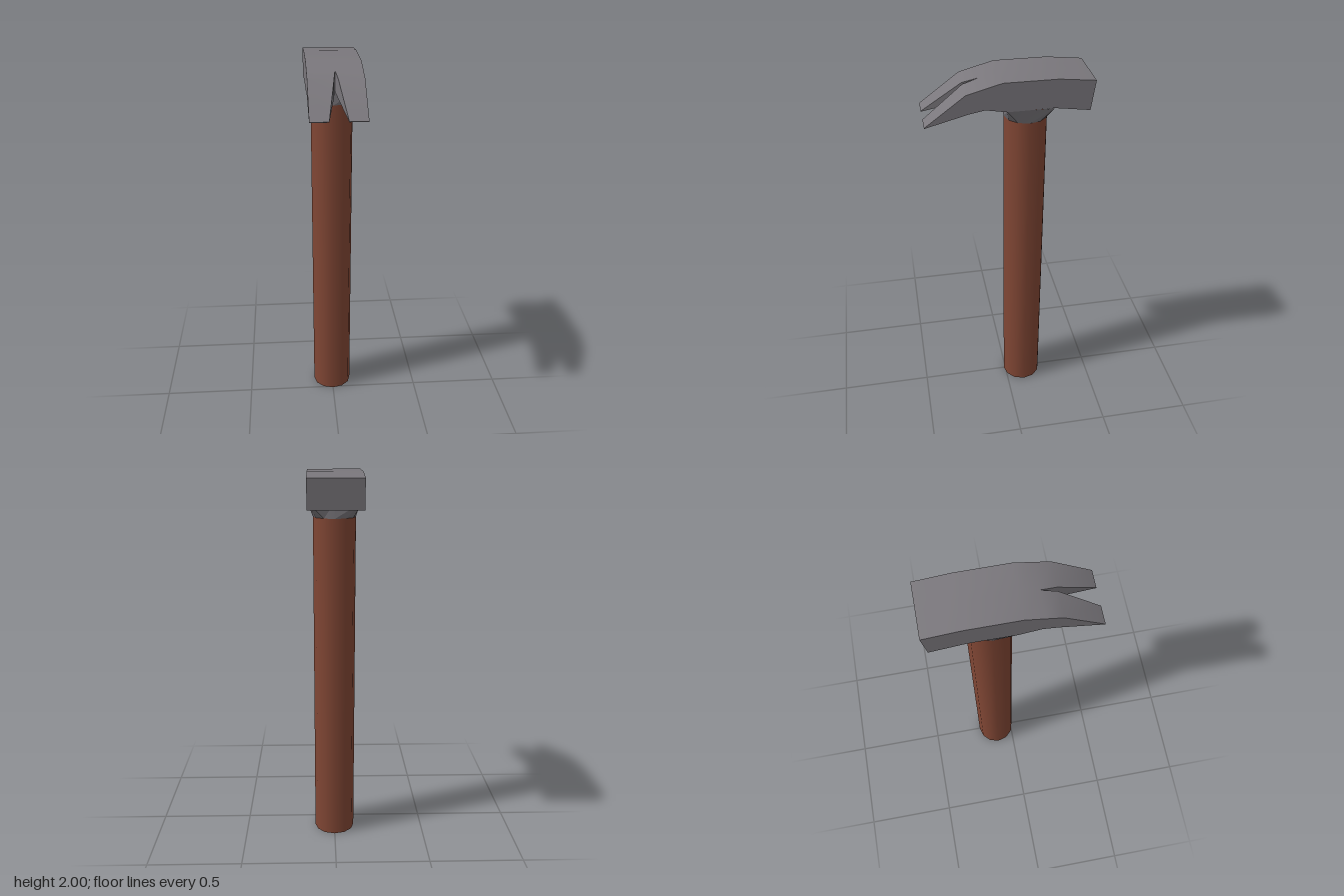
import * as THREE from 'three';
import { toCreasedNormals } from 'three/addons/utils/BufferGeometryUtils.js';

const steel = new THREE.MeshStandardMaterial({ color: 0x7a777c });
steel.name = 'steel';
const wood = new THREE.MeshStandardMaterial({ color: 0x804634 });
wood.name = 'wood';

const HANDLE_Z = -0.1;
const HANDLE_R = 0.11;
const NECK_BOTTOM = 1.77;
const HALF_WIDTH = 0.138;

// Collects quads (corners counter-clockwise from outside) and softens shallow edges.
function quadsToGeometry(quads, crease) {
  const pos = [];
  for (const [a, b, c, d] of quads) pos.push(...a, ...b, ...c, ...a, ...c, ...d);
  const geo = new THREE.BufferGeometry();
  geo.setAttribute('position', new THREE.Float32BufferAttribute(pos, 3));
  return toCreasedNormals(geo, crease);
}

// Head: cross-sections from striking face to claw tips, built as two mirrored halves.
function headGeometry() {
  // top z, top y, bottom z, bottom y, half width of the claw slot
  const stations = [
    [-0.41, 1.98, -0.39, 1.83, 0],
    [-0.23, 2.0, -0.215, 1.855, 0],
    [0.035, 2.0, 0.015, 1.853, 0],
    [0.13, 1.975, 0.12, 1.872, 0],
    [0.21, 1.953, 0.2, 1.857, 0.01],
    [0.41, 1.805, 0.409, 1.802, 0.046],
  ];
  const quads = [];
  for (const side of [1, -1]) {
    const add = (...q) => quads.push(side > 0 ? q : q.reverse());
    // inner top, outer top, outer bottom, inner bottom
    const rings = stations.map(([zt, yt, zb, yb, slot]) => [
      [side * slot, yt, zt],
      [side * HALF_WIDTH, yt, zt],
      [side * HALF_WIDTH, yb, zb],
      [side * slot, yb, zb],
    ]);
    for (let i = 0; i < rings.length - 1; i++) {
      const a = rings[i], b = rings[i + 1];
      for (let k = 0; k < 4; k++) {
        if (k === 3 && i < 3) continue; // no slot wall inside the solid body
        if (k === 2 && i === 1) continue; // covered by the neck
        const n = (k + 1) % 4;
        add(a[k], b[k], b[n], a[n]);
      }
    }
    const first = rings[0], last = rings[rings.length - 1];
    add(first[0], first[1], first[2], first[3]); // striking face
    add(last[3], last[2], last[1], last[0]); // claw tip
  }
  return quadsToGeometry(quads, 0.44);
}

// Neck: rectangle under the head blending into the twelve-sided handle.
function neckGeometry() {
  const halfDepth = 0.115;
  const snap = (v) => (Math.abs(v) > 0.4 ? Math.sign(v) : 0);
  const top = [], bottom = [];
  for (let i = 0; i < 12; i++) {
    const s = Math.sin((i * Math.PI) / 6), c = Math.cos((i * Math.PI) / 6);
    top.push([snap(s) * HALF_WIDTH, 1.854, HANDLE_Z + snap(c) * halfDepth]);
    bottom.push([s * HANDLE_R, NECK_BOTTOM, HANDLE_Z + c * HANDLE_R]);
  }
  const quads = top.map((t, i) => {
    const n = (i + 1) % 12;
    return [bottom[i], bottom[n], top[n], t];
  });
  return quadsToGeometry(quads, 0.3);
}

export function createModel() {
  const group = new THREE.Group();
  group.name = 'hammer';

  const add = (name, geometry, material) => {
    const mesh = new THREE.Mesh(geometry, material);
    mesh.name = name;
    group.add(mesh);
    return mesh;
  };

  add('head', headGeometry(), steel);
  add('neck', neckGeometry(), steel);

  // Handle
  const handle = add('handle', new THREE.CylinderGeometry(HANDLE_R, HANDLE_R, NECK_BOTTOM, 12), wood);
  handle.position.set(0, NECK_BOTTOM / 2, HANDLE_Z);

  return group;
}
